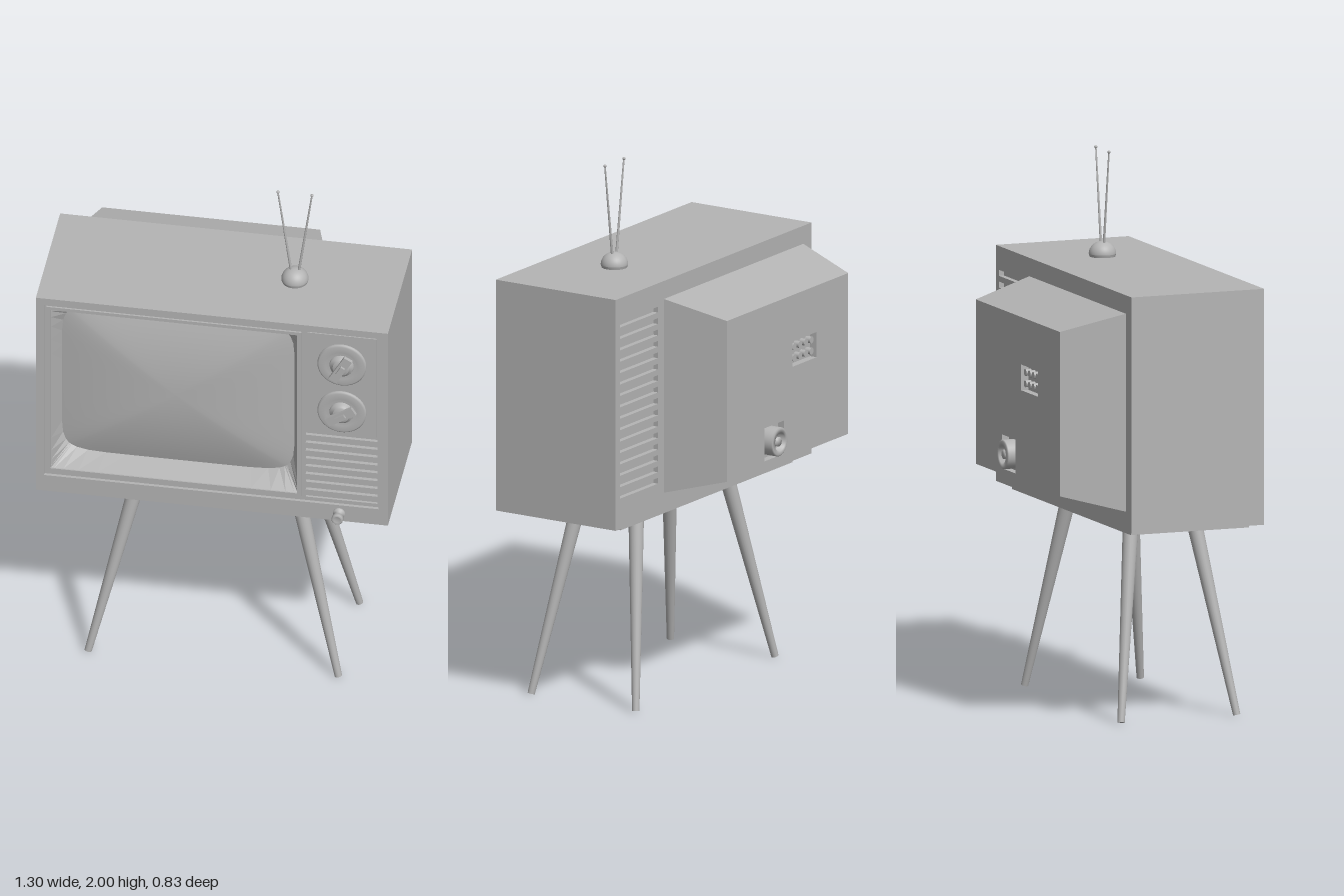
import * as THREE from 'three';

const grey = new THREE.MeshStandardMaterial({ color: 0xb4b4b4, side: THREE.DoubleSide });
grey.name = 'plain grey';

// adds a named mesh to a parent
function add(parent, name, geometry, x = 0, y = 0, z = 0) {
  const mesh = new THREE.Mesh(geometry, grey);
  mesh.name = name;
  mesh.position.set(x, y, z);
  parent.add(mesh);
  return mesh;
}

// box given by its limits
function block(parent, name, x0, x1, y0, y1, z0, z1) {
  return add(parent, name, new THREE.BoxGeometry(x1 - x0, y1 - y0, z1 - z0),
    (x0 + x1) / 2, (y0 + y1) / 2, (z0 + z1) / 2);
}

// plate with rectangular openings; rectangles are [x0, x1, y0, y1]
function plate(parent, name, rect, holes, z0, z1) {
  const outline = (p, [x0, x1, y0, y1]) =>
    p.moveTo(x0, y0).lineTo(x1, y0).lineTo(x1, y1).lineTo(x0, y1).closePath();
  const shape = outline(new THREE.Shape(), rect);
  for (const h of holes) shape.holes.push(outline(new THREE.Path(), h));
  const g = new THREE.ExtrudeGeometry(shape, { depth: z1 - z0, bevelEnabled: false });
  return add(parent, name, g, 0, 0, z0);
}

// ring around a rectangle; round > 0 bows the sides and rounds the corners
function ring(cx, cy, hw, hh, z, round = 0, steps = 14) {
  const pts = [];
  const corners = [[-1, -1], [1, -1], [1, 1], [-1, 1]];
  for (let side = 0; side < 4; side++) {
    const a = corners[side], b = corners[(side + 1) % 4];
    for (let i = 0; i < steps; i++) {
      const t = (1 - Math.cos((Math.PI * i) / steps)) / 2;
      const u = a[0] + (b[0] - a[0]) * t, v = a[1] + (b[1] - a[1]) * t;
      const k = round ? (Math.abs(u) ** round + Math.abs(v) ** round) ** (-1 / round) : 1;
      pts.push(cx + u * k * hw, cy + v * k * hh, z);
    }
  }
  return pts;
}

// skin through a list of rings
function loft(rings, smooth) {
  const n = rings[0].length / 3, index = [];
  for (let r = 0; r < rings.length - 1; r++) {
    for (let i = 0; i < n; i++) {
      const j = (i + 1) % n, a = r * n + i, b = r * n + j;
      index.push(a, b, b + n, a, b + n, a + n);
    }
  }
  let g = new THREE.BufferGeometry();
  g.setAttribute('position', new THREE.Float32BufferAttribute(rings.flat(), 3));
  g.setIndex(index);
  if (!smooth) g = g.toNonIndexed();
  g.computeVertexNormals();
  return g;
}

// round part turned about the z axis; profile is [radius, z]
function turned(profile, segments = 32) {
  return new THREE.LatheGeometry(profile.map(p => new THREE.Vector2(...p)), segments).rotateX(Math.PI / 2);
}

// tapered rod between two points
function rod(parent, name, from, to, r0, r1, segments) {
  const a = new THREE.Vector3(...from), b = new THREE.Vector3(...to);
  const dir = b.clone().sub(a);
  const mesh = add(parent, name, new THREE.CylinderGeometry(r1, r0, dir.length(), segments));
  mesh.position.copy(a).add(b).multiplyScalar(0.5);
  mesh.quaternion.setFromUnitVectors(new THREE.Vector3(0, 1, 0), dir.normalize());
  return mesh;
}

export function createModel() {
  const tv = new THREE.Group();
  tv.name = 'television';

  // cabinet: core, front frame and slotted back wall
  const cabinet = new THREE.Group();
  cabinet.name = 'cabinet';
  tv.add(cabinet);
  const outer = [-0.65, 0.65, 0.73, 1.6];
  block(cabinet, 'cabinetCore', ...outer, -0.135, 0.26);
  plate(cabinet, 'frontFrame', outer, [[-0.62, 0.615, 0.8, 1.572]], 0.26, 0.367);
  const slots = [];
  for (let i = 0; i < 16; i++) slots.push([0.37, 0.62, 0.845 + i * 0.043, 0.867 + i * 0.043]);
  plate(cabinet, 'ventedBack', outer, slots, -0.155, -0.135);
  block(cabinet, 'bottomPlate', -0.57, 0.57, 0.71, 0.73, -0.125, 0.34);

  // front panel with openings for screen and speaker
  plate(tv, 'frontPanel', [-0.62, 0.615, 0.8, 1.572],
    [[-0.597, 0.313, 0.83, 1.547], [0.345, 0.61, 0.815, 1.105]], 0.26, 0.355);
  plate(tv, 'screenRim', [-0.612, 0.33, 0.815, 1.56], [[-0.597, 0.313, 0.83, 1.547]], 0.355, 0.362);

  // sloping surround and bulging tube
  const cx = -0.14, cy = 1.19;
  add(tv, 'screenSurround', loft([
    ring(cx, 1.1885, 0.455, 0.3585, 0.357),
    ring(cx, cy, 0.43, 0.328, 0.275, 9),
  ]));
  const screenRings = [];
  for (let i = 0; i <= 12; i++) {
    const s = Math.max(1 - i / 12, 0.001);
    screenRings.push(ring(cx, cy, 0.43 * s, 0.328 * s, 0.275 + 0.05 * (1 - s * s), 9));
  }
  add(tv, 'screen', loft(screenRings, true));

  // speaker grille
  block(tv, 'speakerBack', 0.345, 0.61, 0.815, 1.105, 0.26, 0.335);
  for (let i = 0; i < 8; i++) {
    const y = 0.825 + i * 0.0355;
    block(tv, 'speakerSlat', 0.345, 0.61, y, y + 0.025, 0.335, 0.359);
  }

  // tuning dials
  block(tv, 'dialPanel', 0.352, 0.608, 1.12, 1.565, 0.355, 0.362);
  for (const [y, angle] of [[1.437, 1.05], [1.225, 0.56]]) {
    const dial = new THREE.Group();
    dial.name = 'dial';
    dial.position.set(0.48, y, 0.362);
    dial.rotation.z = angle;
    tv.add(dial);
    add(dial, 'dialPlate', turned([[0.09, 0], [0.09, 0.008], [0.084, 0.012], [0.058, 0.012], [0.055, 0.009], [0, 0.009]], 40));
    add(dial, 'dialStem', turned([[0.045, 0.009], [0.042, 0.018], [0.03, 0.02], [0.03, 0.03], [0, 0.03]]));
    block(dial, 'dialGrip', -0.058, 0.058, -0.017, 0.017, 0.027, 0.041);
    block(dial, 'dialPointer', -0.02, 0.02, -0.008, 0.008, 0.041, 0.05);
  }

  // power button
  add(tv, 'powerButton', turned([[0.022, 0], [0.022, 0.008], [0.013, 0.01], [0.013, 0.025],
    [0.021, 0.028], [0.021, 0.043], [0.017, 0.048], [0.013, 0.044], [0, 0.044]], 24), 0.47, 0.765, 0.367);

  // rear housing with two recesses
  const rear = new THREE.Group();
  rear.name = 'rearHousing';
  tv.add(rear);
  const rx = -0.1325, ry = 1.167;
  add(rear, 'rearSlopes', loft([
    ring(rx, ry, 0.4025, 0.303, -0.39, 0, 1),
    ring(rx, ry, 0.4625, 0.365, -0.155, 0, 1),
  ]));
  plate(rear, 'rearPlate', [-0.535, 0.27, 0.864, 1.47],
    [[-0.325, -0.165, 1.2, 1.295], [-0.11, 0.02, 0.885, 1.01]], -0.39, -0.36);
  block(rear, 'recessFloor', -0.34, 0.04, 0.875, 1.31, -0.362, -0.35);

  // terminals and round socket
  for (let i = 0; i < 8; i++) {
    const x = -0.302 + (i % 4) * 0.038, y = 1.227 + Math.floor(i / 4) * 0.042;
    add(rear, 'terminal', new THREE.CylinderGeometry(0.013, 0.013, 0.024, 12).rotateX(Math.PI / 2), x, y, -0.372);
  }
  add(rear, 'socket', turned([[0.054, 0], [0.054, 0.05], [0.049, 0.054], [0.034, 0.054],
    [0.032, 0.03], [0.017, 0.03], [0.017, 0.05], [0, 0.05]]).rotateY(Math.PI), -0.045, 0.947, -0.361);

  // splayed tapered legs
  for (const s of [-1, 1]) {
    rod(tv, 'frontLeg', [s * 0.462, 0.003, 0.336], [s * 0.297, 0.715, 0.232], 0.0135, 0.029, 20);
    rod(tv, 'backLeg', [s * 0.462, 0.003, -0.119], [s * 0.297, 0.715, -0.013], 0.0135, 0.029, 20);
  }

  // aerial
  const aerial = new THREE.Group();
  aerial.name = 'aerial';
  aerial.position.set(0.262, 1.6, 0.105);
  tv.add(aerial);
  add(aerial, 'aerialFoot', new THREE.CylinderGeometry(0.05, 0.047, 0.01, 32), 0, 0.005, 0);
  add(aerial, 'aerialDome', new THREE.SphereGeometry(0.05, 32, 12, 0, Math.PI * 2, 0, Math.PI / 2).scale(1, 0.92, 1), 0, 0.01, 0);
  for (const s of [-1, 1]) {
    rod(aerial, 'aerialRod', [s * 0.014, 0.045, 0], [s * 0.063, 0.395, 0], 0.005, 0.003, 8);
    add(aerial, 'aerialTip', new THREE.SphereGeometry(0.006, 10, 8), s * 0.063, 0.394, 0);
  }
  return tv;
}
